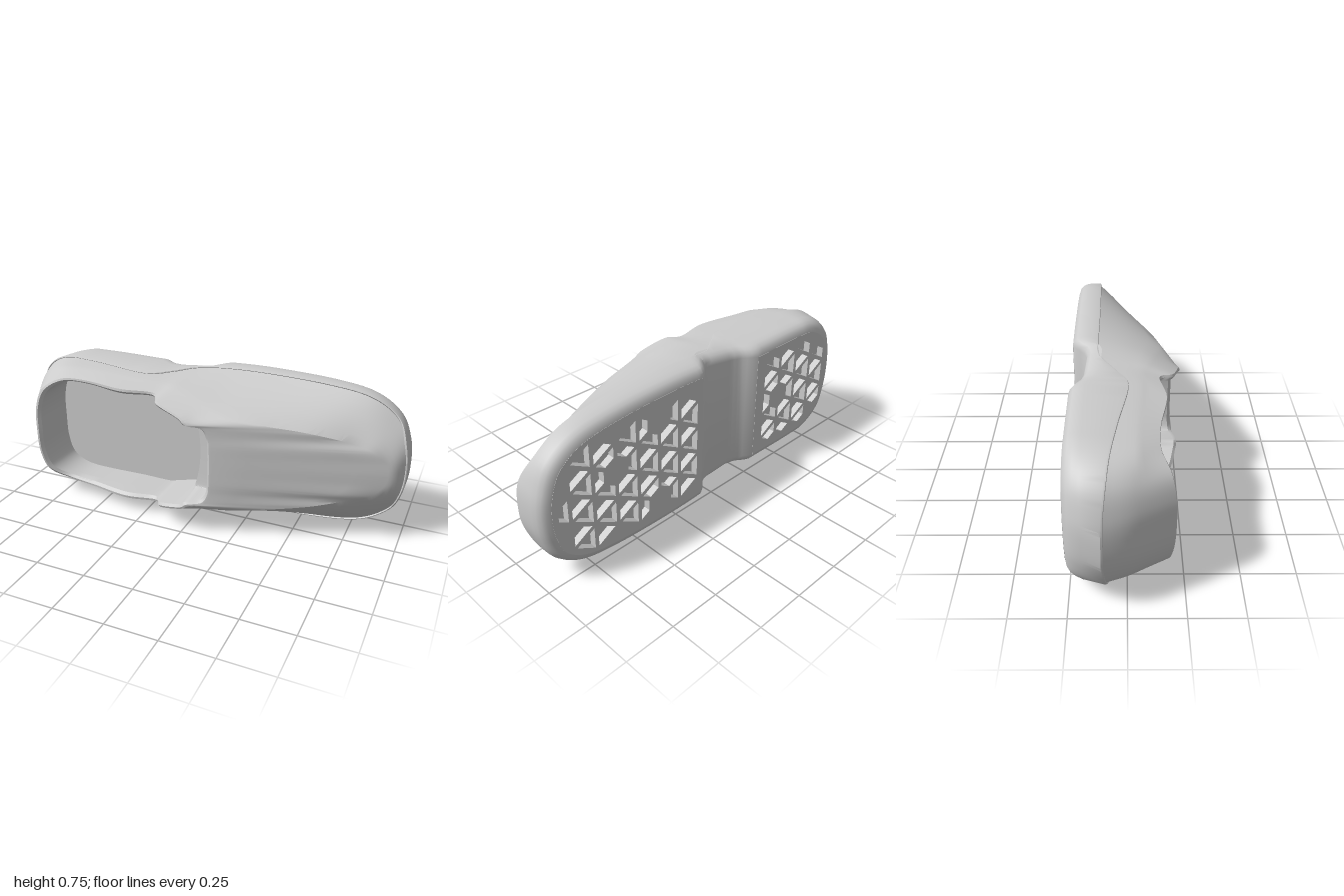
import * as THREE from 'three';
import { toCreasedNormals } from 'three/addons/utils/BufferGeometryUtils.js';

const N = 196; // points around each ring
const MID = 0.378; // height of the shoe's centre line
const material = new THREE.MeshStandardMaterial({ color: 0xcccccc });
const V = (x, y, z) => new THREE.Vector3(x, y, z);
const lerp = THREE.MathUtils.lerp;

// Half outlines from heel to toe: [length, half width, height above ground plane of the shoe]
const SOLE = [
  [-1, 0, -.095], [-.985, .13, -.095], [-.925, .255, -.083], [-.8, .325, -.067], [-.6, .338, -.037],
  [-.3, .336, .008], [-.18, .342, -.05], [-.07, .355, -.12], [.08, .37, -.133], [.3, .376, -.133],
  [.6, .364, -.136], [.8, .33, -.142], [.93, .245, -.14], [.985, .125, -.09], [1, 0, -.085]];
const RIDGE = [
  [-.925, 0, .05], [-.915, .13, .05], [-.868, .235, .05], [-.77, .305, .045], [-.59, .32, .05],
  [-.3, .316, .085], [-.17, .318, .07], [-.08, .318, .09], [.05, .296, .12], [.25, .24, .165],
  [.56, .195, .08], [.75, .15, .015], [.85, .115, -.005], [.91, .06, -.025], [.925, 0, -.028]];
const RIM = [
  [-.84, 0, .2], [-.835, .13, .195], [-.8, .23, .175], [-.71, .283, .135], [-.56, .298, .14],
  [-.35, .3, .175], [-.18, .298, .15], [-.125, .282, .215], [0, .245, .248], [.045, .215, .254],
  [.115, .2, .23], [.142, .15, .222], [.148, .1, .222], [.15, .045, .222], [.15, 0, .222]];

// Mirror a half outline and sample it as a smooth closed ring
function ring(half) {
  const left = half.map(p => V(...p));
  const right = half.slice(1, -1).reverse().map(([x, y, z]) => V(x, -y, z));
  const curve = new THREE.CatmullRomCurve3([...left, ...right], true, 'catmullrom', 0.5);
  return Array.from({ length: N }, (_, i) => curve.getPoint(i / N));
}

// Move a ring inwards by amount(p) and set its height with height(p)
function inset(base, amount, height) {
  return base.map((p, i) => {
    const t = base[(i + 1) % N].clone().sub(base[(i + N - 1) % N]);
    const len = Math.hypot(t.x, t.y), d = amount(p);
    return V(p.x + t.y / len * d, p.y - t.x / len * d, height(p));
  });
}

// Skin a stack of rings; caps run in strips from side to side
function loft(rings, capStart, capEnd) {
  const pos = [], idx = [];
  rings.forEach(r => r.forEach(p => pos.push(p.x, p.y + MID, p.z)));
  for (let k = 0; k < rings.length - 1; k++) {
    for (let i = 0; i < N; i++) {
      const j = (i + 1) % N, a = k * N, b = a + N;
      idx.push(a + i, b + i, a + j, a + j, b + i, b + j);
    }
  }
  const cap = (o, up) => {
    for (let i = 0; i < N / 2; i++) {
      const p = o + i, q = p + 1, P = o + (N - i) % N, Q = o + N - i - 1;
      if (up) idx.push(p, P, q, q, P, Q);
      else idx.push(p, q, P, q, Q, P);
    }
  };
  if (capStart) cap(0, false);
  if (capEnd) cap((rings.length - 1) * N, true);
  const g = new THREE.BufferGeometry();
  g.setAttribute('position', new THREE.Float32BufferAttribute(pos, 3));
  g.setIndex(idx);
  return toCreasedNormals(g, 0.6);
}

// Height of the underside: flat with an arch notch between heel and forefoot
const ARCH = [[-2, -.26], [-.29, -.26], [-.23, -.215], [-.18, -.2], [-.03, -.19], [.005, -.2], [.07, -.26], [2, -.26]];
function underside(x) {
  const i = ARCH.findIndex(p => p[0] >= x), [x0, z0] = ARCH[i - 1], [x1, z1] = ARCH[i];
  return lerp(z0, z1, (x - x0) / (x1 - x0));
}

// Tread pad with a lattice of triangular pockets and round bosses left solid
function treadPad(bottom, inPad, x0, columns, bosses) {
  const outline = bottom.filter(p => inPad(p.x)).map(p => new THREE.Vector2(p.x, p.y));
  const shape = new THREE.Shape(outline);
  const s = 0.145, h = s * Math.sqrt(3) / 2;
  const half = x => Math.abs(bottom.reduce((b, p) => Math.abs(p.x - x) < Math.abs(b.x - x) ? p : b).y);
  const outside = p => Math.abs(p.y) > half(p.x) - 0.018;
  const at = (c, j) => new THREE.Vector2(x0 + c * h, j * s / 2);
  for (let c = 0; c < columns; c++) {
    for (let j = -6; j <= 6; j++) {
      const tri = (c + j) % 2 === 0
        ? [at(c, j), at(c + 1, j - 1), at(c + 1, j + 1)]
        : [at(c + 1, j), at(c, j + 1), at(c, j - 1)];
      const mid = tri[0].clone().add(tri[1]).add(tri[2]).divideScalar(3);
      const pts = tri.map(p => mid.clone().lerp(p, 0.76));
      if (!inPad(mid.x) || outside(mid) || pts.filter(outside).length > 1) continue;
      const hole = [];
      pts.forEach((p, k) => {
        const nearBoss = bosses.some(([bc, bj]) => at(bc, bj).distanceTo(tri[k]) < 0.01);
        // Corners at a boss or past the edge of the pad are cut off
        if (nearBoss || outside(p)) hole.push(p.clone().lerp(pts[(k + 2) % 3], 0.5), p.clone().lerp(pts[(k + 1) % 3], 0.5));
        else hole.push(p);
      });
      if (!hole.some(outside)) shape.holes.push(new THREE.Path(hole));
    }
  }
  const g = new THREE.ExtrudeGeometry(shape, { depth: 0.036, bevelEnabled: false });
  return g.translate(0, MID, -0.261);
}

export function createModel() {
  const group = new THREE.Group();
  const add = (name, geometry, mat = material) => {
    const mesh = new THREE.Mesh(geometry, mat);
    mesh.name = name;
    group.add(mesh);
  };
  const edge = ring(SOLE), ridge = ring(RIDGE), rim = ring(RIM);

  // Sole: rounded bottom edge, tapering more at the heel
  const heel = p => THREE.MathUtils.clamp((-p.x - 0.7) / 0.3, 0, 1);
  const level = (d, heelD, lift) => inset(edge, p => d + heelD * heel(p), p => underside(p.x) + lift);
  const bottom = level(0.05, 0.075, 0);
  const pocketed = x => x < -0.33 || x > 0.1;
  const pocketFloor = bottom.map(p => V(p.x, p.y, pocketed(p.x) ? -0.226 : p.z));
  add('sole', loft([
    pocketFloor, bottom,
    level(0.03, 0.065, 0.006), level(0.012, 0.055, 0.022), level(0.003, 0.045, 0.045), level(0, 0.03, 0.075),
    inset(edge, () => 0, p => p.z - 0.01),
    inset(edge, () => 0.002, p => p.z - 0.002),
    inset(edge, () => 0.006, p => p.z),
    inset(edge, () => 0.015, p => p.z - 0.008)
  ], true, false));

  // Tread pads under heel and forefoot
  add('heelTread', treadPad(bottom, x => x <= -0.29, -0.979, 5, [[4, 0]]));
  add('forefootTread', treadPad(bottom, x => x >= 0.07, -0.017, 8, [[3, 3], [3, -3], [5, 1]]));

  // Upper: sides and vamp up to the collar
  const start = inset(edge, () => 0.008, p => p.z - 0.008);
  const mix = (a, b, t, swell) => a.map((p, i) => {
    const m = p.clone().lerp(b[i], t);
    m.z += swell * Math.sin(Math.PI * t);
    return m;
  });
  const rings = [start];
  for (let k = 1; k < 5; k++) rings.push(mix(start, ridge, k / 5, 0.012));
  for (let k = 0; k < 5; k++) rings.push(mix(ridge, rim, k / 5, 0));

  // Lining: over the collar, down to a ledge at the front, then down to the insole
  const inner = (d, height) => rim.map(p => {
    const x = p.x + 0.35, r = Math.hypot(x, p.y);
    return V(p.x - x / r * d, p.y * (1 - d / r), height(p));
  });
  const ledge = inner(0.028, p => Math.min(p.z - 0.06, 0.1));
  const pocket = z => ledge.map(p => V(Math.min(p.x, 0.035 - 0.8 * p.y * p.y), p.y, z));
  rings.push(rim, inner(0.012, p => p.z + 0.002), inner(0.026, p => p.z - 0.012),
    ledge, pocket(0.085), pocket(-0.035));
  const upperMaterial = material.clone();
  upperMaterial.side = THREE.DoubleSide;
  add('upper', loft(rings, false, true), upperMaterial);
  return group;
}
